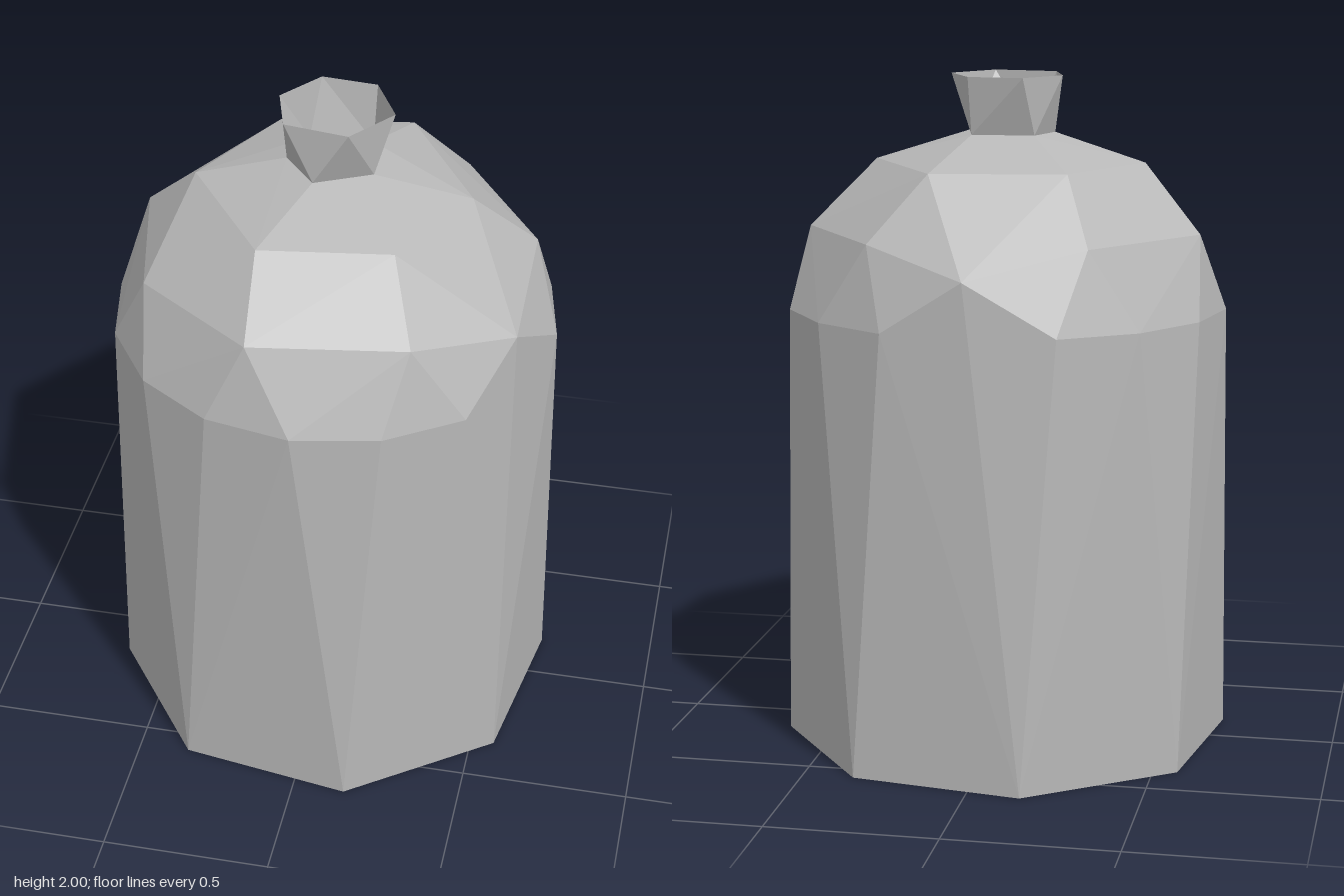
import * as THREE from 'three';
import { ConvexGeometry } from 'three/addons/geometries/ConvexGeometry.js';

const ring = (y, corners) => corners.map(([x, z]) => new THREE.Vector3(x, y, z));

const polygon = (y, radius, sides, startDeg, skip = []) => {
  const points = [];
  for (let i = 0; i < sides; i++) {
    if (skip.includes(i)) continue;
    const a = THREE.MathUtils.degToRad(startDeg + (i * 360) / sides);
    points.push(new THREE.Vector3(radius * Math.cos(a), y, radius * Math.sin(a)));
  }
  return points;
};

// Keeps only the side triangles of a hull, leaving it open at both ends
function removeCaps(geometry) {
  const p = geometry.attributes.position;
  const n = geometry.attributes.normal;
  const kept = [];
  for (let i = 0; i < p.count; i += 3) {
    if (Math.abs(n.getY(i)) > 0.95) continue;
    for (let k = i; k < i + 3; k++) kept.push(p.getX(k), p.getY(k), p.getZ(k));
  }
  const open = new THREE.BufferGeometry();
  open.setAttribute('position', new THREE.Float32BufferAttribute(kept, 3));
  open.computeVertexNormals();
  return open;
}

export function createModel() {
  const model = new THREE.Group();
  model.name = 'bottle';
  const grey = new THREE.MeshStandardMaterial({ color: 0xb8b8b8 });
  grey.name = 'grey';
  grey.flatShading = true;
  grey.side = THREE.DoubleSide;

  // Neck: five corners at the foot flare out to six at the rim
  const neckFoot = ring(1.83, [[-0.14, 0.015], [-0.04, 0.135], [0.12, 0.055], [0.085, -0.12], [-0.1, -0.11]]);
  const neckRim = ring(2, [[-0.17, -0.035], [-0.125, 0.12], [0.065, 0.15], [0.17, 0.005], [0.09, -0.15], [-0.075, -0.165]]);

  // Body: faceted wall and irregular shoulder, closed at top and bottom
  const bodyPoints = [
    ...polygon(0, 0.67, 8, -13.5),
    ...polygon(1.32, 0.655, 16, 0, [1, 12]),
    ...ring(1.475, [[0.57, 0.258], [0.01, -0.635]]),
    ...ring(1.555, [[0.31, 0.5], [-0.14, 0.57], [-0.49, 0.32], [-0.59, -0.125], [-0.32, -0.495], [0.31, -0.505], [0.57, -0.13]]),
    ...ring(1.745, [[-0.41, 0.01], [-0.15, 0.375], [0.23, 0.32], [0.395, -0.01], [0.155, -0.395], [-0.235, -0.335]]),
    ...neckFoot,
  ];
  const body = new THREE.Mesh(new ConvexGeometry(bodyPoints), grey);
  body.name = 'body';

  const neck = new THREE.Mesh(removeCaps(new ConvexGeometry([...neckFoot, ...neckRim])), grey);
  neck.name = 'neck';

  model.add(body, neck);
  return model;
}
